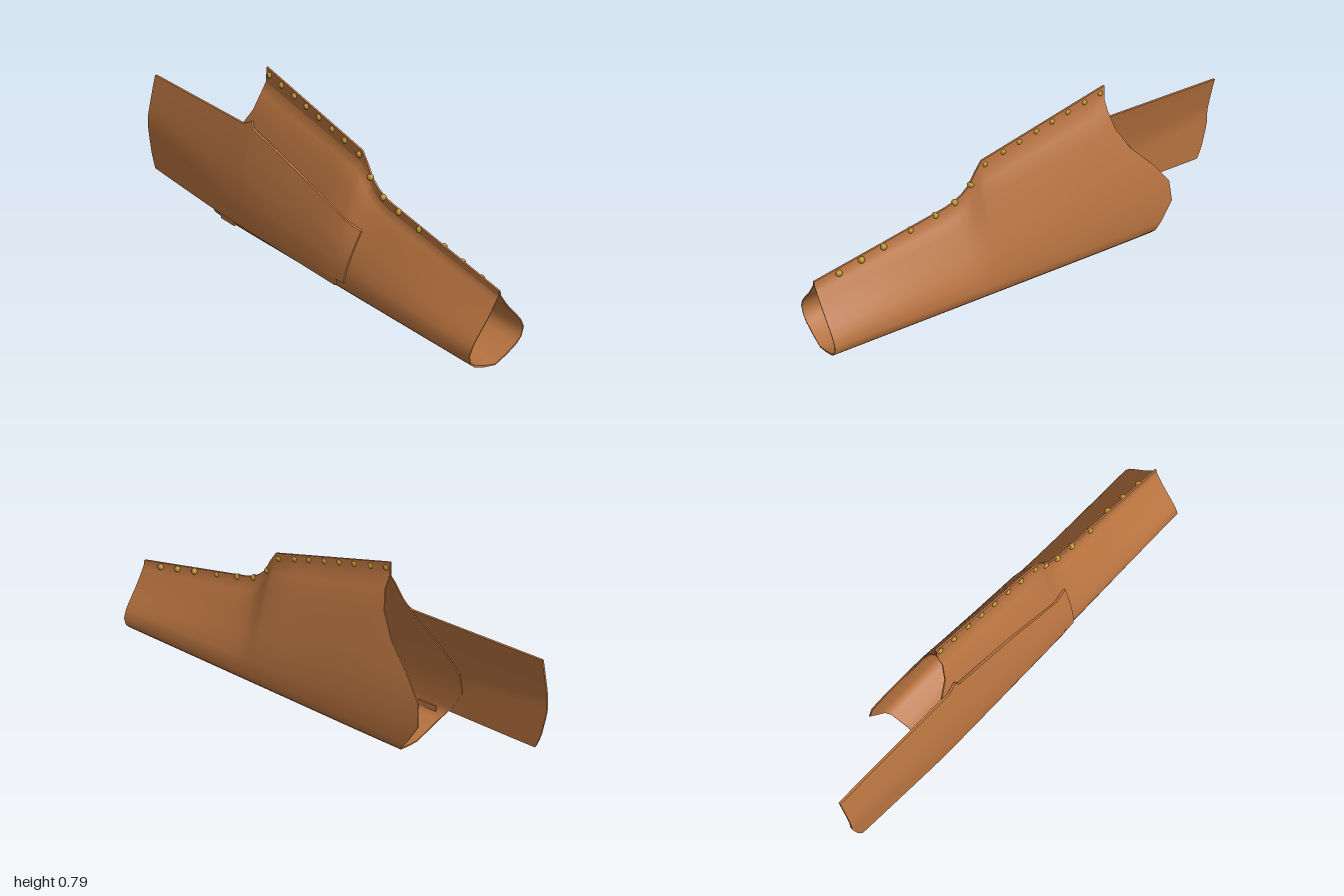
import * as THREE from 'three';
import { toCreasedNormals } from 'three/addons/utils/BufferGeometryUtils.js';

const MID_Z = -0.007; // seam plane
const WALL = 0.006;

// piecewise linear lookup through [input, output] pairs
function curve(pairs, v) {
  if (v <= pairs[0][0]) return pairs[0][1];
  for (let i = 1; i < pairs.length; i++) {
    const [a, p] = pairs[i - 1], [b, q] = pairs[i];
    if (v <= b) return p + (q - p) * (v - a) / (b - a);
  }
  return pairs[pairs.length - 1][1];
}

// half cross-sections as [height, half width], bottom to top seam
const WIDE = [[0, 0], [0.02, 0.075], [0.045, 0.135], [0.07, 0.157], [0.11, 0.16], [0.2, 0.158], [0.3, 0.145],
  [0.4, 0.122], [0.5, 0.095], [0.6, 0.065], [0.68, 0.035], [0.72, 0.008], [0.785, 0.004]];
const NARROW = [[0, 0], [0.02, 0.065], [0.045, 0.118], [0.07, 0.143], [0.11, 0.153], [0.15, 0.135], [0.18, 0.112],
  [0.21, 0.087], [0.24, 0.062], [0.27, 0.04], [0.3, 0.02], [0.32, 0.007], [0.34, 0.004]];
// top edge height along x, and mouth position by height
const RIDGE = [[-0.34, 0.785], [0.24, 0.63], [0.27, 0.585], [0.3, 0.53], [0.335, 0.497], [0.37, 0.476], [0.41, 0.463], [1, 0.34]];
const MOUTH = [[0, -0.49], [0.04, -0.505], [0.08, -0.53], [0.15, -0.58], [0.22, -0.61], [0.3, -0.59], [0.4, -0.515],
  [0.5, -0.42], [0.54, -0.39], [0.6, -0.36], [0.68, -0.34], [0.785, -0.34]];

function section(x) {
  const w = (curve(RIDGE, x) - 0.34) / 0.445;
  const s = THREE.MathUtils.clamp((x + 0.34) / 1.34, 0, 1);
  return WIDE.map(([y, z], i) => [
    THREE.MathUtils.lerp(NARROW[i][0], y, w),
    THREE.MathUtils.lerp(z, NARROW[i][1], s),
  ]);
}

// grid of points; rows always close into a ring, columns optionally
function loft(rows, cols, closeCols, point) {
  const pos = [], index = [];
  for (let i = 0; i < rows; i++) for (let j = 0; j < cols; j++) pos.push(...point(i, j));
  for (let i = 0; i < rows; i++) {
    for (let j = 0; j < (closeCols ? cols : cols - 1); j++) {
      const i2 = (i + 1) % rows, j2 = (j + 1) % cols;
      const a = i * cols + j, b = i * cols + j2, c = i2 * cols + j2, d = i2 * cols + j;
      index.push(a, b, c, a, c, d);
    }
  }
  const g = new THREE.BufferGeometry();
  g.setAttribute('position', new THREE.Float32BufferAttribute(pos, 3));
  g.setIndex(index);
  return toCreasedNormals(g, 0.9);
}

// hollow body: outer wall out to the tip, inner wall back to the mouth
function bodyGeometry() {
  const xs = [-0.15, 0, 0.12, 0.24, 0.27, 0.3, 0.335, 0.37, 0.41, 0.55, 0.7, 0.85, 1];
  const n = xs.length + 3, last = WIDE.length - 1;
  return loft(2 * last + 1, 2 * n, true, (i, j) => {
    const inner = j >= n, col = inner ? 2 * n - 1 - j : j;
    const row = i <= last ? i : 2 * last + 1 - i;
    const side = i <= last ? 1 : -1;
    const m = curve(MOUTH, WIDE[row][0]);
    const x = col < 3 ? m + (xs[0] - m) * col / 3 : xs[col - 3];
    let [y, z] = section(x)[row];
    if (inner) {
      z = Math.max(0.001, z - WALL);
      if (row === 0) z = 0;
      if (row < 3) y += WALL;
    }
    return [x, y, MID_Z + side * z];
  });
}

// long outer flap, lying against the front wall and reaching past the mouth
function flapGeometry() {
  const xs = [-1, -1, -0.85, -0.7, -0.55, -0.45, -0.38, -0.335, -0.32, -0.2, -0.08, 0.04, 0.15, 0.255, 0.262, 0.33, 0.33];
  const top = [[-0.38, 0.54], [-0.335, 0.565], [-0.32, 0.538], [0.33, 0.33]];
  const bottom = [[-1, 0.1], [0.255, 0.07], [0.262, 0.108], [0.33, 0.11]];
  const leftEdge = [[0, -0.96], [0.12, -0.98], [0.4, -1], [0.7, -0.995], [1, -0.99]];
  const R = 13, n = xs.length;
  return loft(2 * R, n, false, (i, j) => {
    const front = i < R, v = (front ? i : 2 * R - 1 - i) / (R - 1);
    let x = xs[j];
    const y = THREE.MathUtils.lerp(curve(bottom, x), curve(top, x), v);
    if (j < 2) x = curve(leftEdge, v);
    if (j >= n - 2) x = 0.31 + 0.02 * v;
    const lift = 0.008 + 0.012 * v * curve([[-0.33, 1], [0, 0]], x);
    let z = MID_Z + curve(section(x), y) + lift;
    z = Math.min(z, curve([[-1, 0.142], [-0.4, 0.164]], x));
    const capped = j === 0 || j === n - 1;
    return [x, y, front || capped ? z : z - 0.01];
  });
}

export function createModel() {
  const leather = new THREE.MeshStandardMaterial({ color: 0xb87340, side: THREE.DoubleSide });
  leather.name = 'tan leather';
  const brass = new THREE.MeshStandardMaterial({ color: 0xb8902e });
  brass.name = 'brass';

  const model = new THREE.Group();
  model.name = 'leatherSheath';
  const add = (name, geometry, material, parent = model) => {
    const mesh = new THREE.Mesh(geometry, material);
    mesh.name = name;
    parent.add(mesh);
    return mesh;
  };

  add('body', bodyGeometry(), leather);
  add('beltFlap', flapGeometry(), leather);

  // small tab under the flap
  add('flapTab', new THREE.BoxGeometry(0.09, 0.035, 0.012), leather).position.set(-0.435, 0.075, 0.146);

  // studs along the top seam
  const studs = new THREE.Group();
  studs.name = 'seamStuds';
  model.add(studs);
  const ball = new THREE.SphereGeometry(0.014, 16, 12);
  [[-0.32, 0.755], [-0.245, 0.737], [-0.165, 0.718], [-0.09, 0.699], [-0.015, 0.679], [0.065, 0.657], [0.14, 0.636],
    [0.225, 0.608], [0.29, 0.53], [0.365, 0.47], [0.455, 0.442], [0.57, 0.415], [0.695, 0.39], [0.795, 0.367], [0.895, 0.343],
  ].forEach(([x, y]) => {
    add('stud', ball, brass, studs).position.set(x, y, x > 0.6 ? -0.016 : -0.005);
  });

  return model;
}
